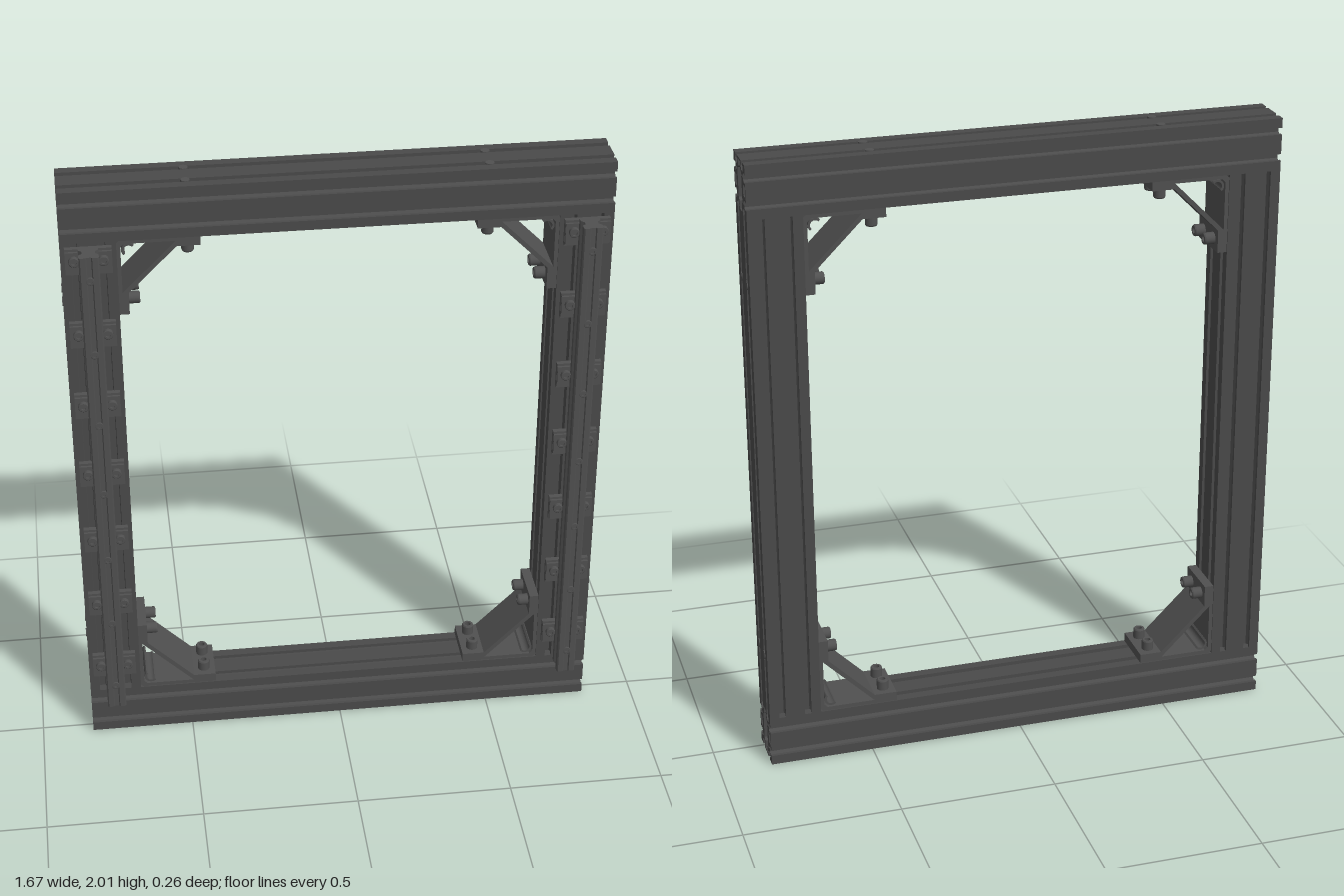
import * as THREE from 'three';

const S = 1 / 6;          // profile width
const H = S / 2;
const Q = S / 4;          // slot offset from the profile centre
const FRAME_Z = -0.0475;  // centre of the frame in depth

const frameMat = new THREE.MeshStandardMaterial({ color: 0x4a4a4a });
frameMat.name = 'dark anodised frame';
const hardwareMat = new THREE.MeshStandardMaterial({ color: 0x505050 });
hardwareMat.name = 'dark grey hardware';

function add(parent, name, geometry, material, x = 0, y = 0, z = 0) {
  const mesh = new THREE.Mesh(geometry, material);
  mesh.name = name;
  mesh.position.set(x, y, z);
  parent.add(mesh);
  return mesh;
}

const polygon = (pts, Type = THREE.Shape) => new Type(pts.map(([x, y]) => new THREE.Vector2(x, y)));

// Extrusion centred on its own length
function extrude(shape, depth) {
  const g = new THREE.ExtrudeGeometry(shape, { depth, bevelEnabled: false, curveSegments: 10 });
  return g.translate(0, 0, -depth / 2);
}

// Square section with two T-slots on every side and hollow chambers
function profileShape() {
  const pts = [];
  const w = 0.0105, W = 0.017, lip = 0.01;
  for (let k = 0; k < 4; k++) {
    const side = [[-H, 0]];
    for (const c of [-Q, Q]) {
      side.push([c - w, 0], [c - w, lip], [c - W, lip], [c - W, 0.016], [c - 0.009, 0.028],
        [c + 0.009, 0.028], [c + W, 0.016], [c + W, lip], [c + w, lip], [c + w, 0]);
    }
    for (const [t, d] of side) {
      const p = new THREE.Vector2(t, d - H).rotateAround(new THREE.Vector2(), k * Math.PI / 2);
      pts.push([p.x, p.y]);
    }
  }
  const shape = polygon(pts);
  // central chamber
  shape.holes.push(polygon([[-0.028, -0.045], [-0.017, -0.053], [-0.017, -0.077], [0.017, -0.077],
    [0.017, -0.053], [0.028, -0.045], [0.028, 0.045], [0.017, 0.053], [0.017, 0.077],
    [-0.017, 0.077], [-0.017, 0.053], [-0.028, 0.045]], THREE.Path));
  for (const s of [-1, 1]) {
    // side chambers
    shape.holes.push(polygon([[s * 0.048, -0.017], [s * 0.077, -0.017],
      [s * 0.077, 0.017], [s * 0.048, 0.017]], THREE.Path));
    // core bores
    for (const t of [-1, 1]) {
      shape.holes.push(new THREE.Path().absarc(s * Q, t * Q, 0.006, 0, Math.PI * 2, true));
    }
  }
  return shape;
}

// Socket-head bolt standing along +y with its seat at y = 0
function boltGeometry(r, h) {
  const p = [[0, 0], [r, 0], [r, 0], [r, h * 0.88], [r, h * 0.88], [r * 0.88, h], [r * 0.88, h],
    [r * 0.5, h], [r * 0.5, h], [r * 0.5, h * 0.5], [r * 0.5, h * 0.5], [0, h * 0.5]];
  return new THREE.LatheGeometry(p.map(([x, y]) => new THREE.Vector2(x, y)), 16);
}

// Corner bracket: two feet joined by a diagonal plate, corner at the origin
function cornerBracket() {
  const g = new THREE.Group();
  g.name = 'cornerBracket';
  const shape = polygon([[0.008, 0], [0.25, 0], [0.25, 0.03], [0.178, 0.03], [0.03, 0.178],
    [0.03, 0.25], [0, 0.25], [0, 0.008]]);
  shape.holes.push(polygon([[0.022, 0.012], [0.176, 0.012], [0.012, 0.176], [0.012, 0.022]], THREE.Path));
  add(g, 'bracketBody', extrude(shape, 0.16), hardwareMat);
  // curved locating hook inside the corner
  const hook = new THREE.Shape();
  hook.absarc(0.036, 0.036, 0.022, Math.PI * 0.75, Math.PI * 1.75, false);
  hook.absarc(0.036, 0.036, 0.015, Math.PI * 1.75, Math.PI * 0.75, true);
  add(g, 'bracketHook', extrude(hook, 0.15), hardwareMat);
  const bolt = boltGeometry(0.019, 0.034);
  const tip = new THREE.CylinderGeometry(0.014, 0.014, 0.025, 12);
  for (const z of [-Q, Q]) {
    add(g, 'footBolt', bolt, hardwareMat, 0.213, 0.03, z);
    add(g, 'wallBolt', bolt, hardwareMat, 0.03, 0.213, z).rotation.z = -Math.PI / 2;
    add(g, 'footBoltTip', tip, hardwareMat, 0.213, -S + 0.01, z);
    add(g, 'wallBoltTip', tip, hardwareMat, -S + 0.01, 0.213, z).rotation.z = Math.PI / 2;
  }
  return g;
}

// Guide rail with its row of mounting clamps, centred on x = 0
function railAssembly() {
  const g = new THREE.Group();
  g.name = 'railAssembly';
  const half = [[0.03, 0.062], [0.03, 0.078], [0.02, 0.086], [0.02, 0.1], [0.03, 0.108],
    [0.03, 0.126], [0.026, 0.13], [0.01, 0.13], [0.007, 0.126]];
  const left = half.map(([x, z]) => [-x, z]).reverse();
  // section drawn as (x, -z) so that turning it up puts the length on y
  const section = polygon([...half, ...left].map(([x, z]) => [x, -z]));
  const rail = extrude(section, 1.664).rotateX(-Math.PI / 2);
  add(g, 'guideRail', rail, hardwareMat, 0, 1, 0);

  const plate = new THREE.BoxGeometry(0.14, 0.085, 0.017);
  const pad = new THREE.BoxGeometry(0.05, 0.07, 0.012);
  const seat = new THREE.BoxGeometry(0.056, 0.05, 0.016);
  const clampBolt = boltGeometry(0.016, 0.012).rotateX(Math.PI / 2);
  const railBolt = boltGeometry(0.013, 0.007).rotateX(Math.PI / 2);
  for (let i = 0; i < 7; i++) {
    const y = 0.28 + i * 0.25;
    add(g, 'clampPlate', plate, hardwareMat, 0, y, 0.0435);
    add(g, 'clampSeat', seat, hardwareMat, 0, y, 0.057);
    for (const s of [-1, 1]) {
      add(g, 'clampPad', pad, hardwareMat, s * 0.044, y, 0.054);
      add(g, 'clampBolt', clampBolt, hardwareMat, s * 0.044, y + 0.008, 0.06);
    }
    add(g, 'railBolt', railBolt, hardwareMat, 0, y - 0.026, 0.1235);
  }
  return g;
}

export function createModel() {
  const model = new THREE.Group();
  model.name = 'slottedFrame';
  const section = profileShape();

  // Top and bottom beams
  const beam = extrude(section, 5 / 3).rotateY(Math.PI / 2);
  add(model, 'bottomBeam', beam, frameMat, 0, H, FRAME_Z);
  add(model, 'topBeam', beam, frameMat, 0, 2 - H, FRAME_Z);

  // Posts and front rails
  const post = extrude(section, 2 - 2 * S).rotateX(-Math.PI / 2);
  for (const s of [-1, 1]) {
    add(model, s > 0 ? 'leftPost' : 'rightPost', post, frameMat, s * 0.75, 1, FRAME_Z);
    const rail = railAssembly();
    rail.position.x = s * 0.75;
    model.add(rail);
  }

  // Brackets in the four inner corners
  const corners = [[-1, -1], [1, -1], [1, 1], [-1, 1]];
  corners.forEach(([sx, sy], i) => {
    const bracket = cornerBracket();
    bracket.position.set(sx * (5 / 6 - S), 1 + sy * (1 - S), FRAME_Z);
    bracket.rotation.z = i * Math.PI / 2;
    model.add(bracket);
  });
  return model;
}
